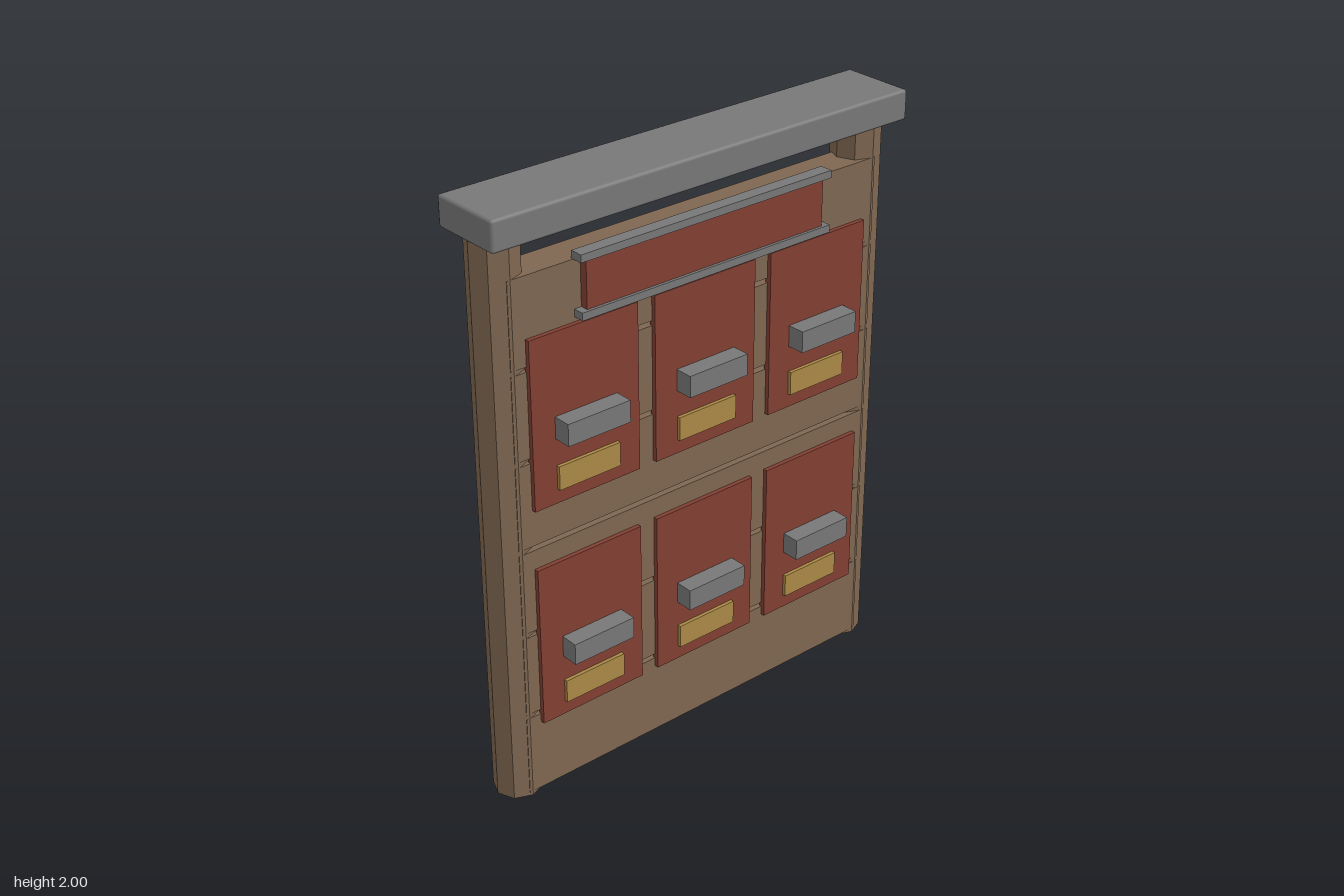
import * as THREE from 'three';
import { RoundedBoxGeometry } from 'three/addons/geometries/RoundedBoxGeometry.js';

function material(name, color) {
  const m = new THREE.MeshStandardMaterial({ color });
  m.name = name;
  return m;
}

export function createModel() {
  const model = new THREE.Group();
  model.name = 'mailboxBoard';
  const wood = material('brownWood', 0x7e6751);
  const red = material('redPaint', 0x823f33);
  const grey = material('greyMetal', 0x777877);
  const brass = material('brass', 0xaa8946);

  // Adds a mesh at a position
  function add(name, geometry, mat, x, y, z, parent = model) {
    const mesh = new THREE.Mesh(geometry, mat);
    mesh.name = name;
    mesh.position.set(x, y, z);
    parent.add(mesh);
    return mesh;
  }

  // Adds a box given by its lower and upper corners
  function box(name, mat, [x0, y0, z0], [x1, y1, z1], parent = model) {
    const geometry = new THREE.BoxGeometry(x1 - x0, y1 - y0, z1 - z0);
    return add(name, geometry, mat, (x0 + x1) / 2, (y0 + y1) / 2, (z0 + z1) / 2, parent);
  }

  // Octagonal posts
  const postGeometry = new THREE.CylinderGeometry(0.08, 0.08, 1.9, 8).toNonIndexed();
  postGeometry.computeVertexNormals();
  for (const [name, x] of [['rightPost', -0.705], ['leftPost', 0.695]]) {
    add(name, postGeometry, wood, x, 0.95, -0.01);
  }

  // Horizontal planks with narrow gaps
  const planks = new THREE.Group();
  planks.name = 'planks';
  model.add(planks);
  for (let i = 0; i < 6; i++) {
    const y = 0.013 + i * 0.298;
    box('plank', wood, [-0.715, y, -0.05], [0.705, y + 0.282, 0.068], planks);
  }

  // Roof beam with softened edges
  add('roofBeam', new RoundedBoxGeometry(1.58, 0.1, 0.255, 1, 0.01), grey, 0, 1.95, -0.0135);

  // Header panel held between two rails
  box('headerPanel', red, [-0.46, 1.625, 0.06], [0.457, 1.79, 0.095]);
  for (const y of [1.605, 1.785]) {
    box('headerRail', grey, [-0.485, y, 0.06], [0.482, y + 0.025, 0.105]);
  }

  // Two rows of three doors, each with a handle and a name plate
  for (const y of [0.265, 1.03]) {
    for (const x of [-0.463, -0.003, 0.457]) {
      const unit = new THREE.Group();
      unit.name = 'mailbox';
      unit.position.set(x, y, 0);
      model.add(unit);
      box('door', red, [-0.198, 0, 0.06], [0.198, 0.56, 0.083], unit);
      box('handle', grey, [-0.115, 0.217, 0.08], [0.115, 0.29, 0.145], unit);
      box('namePlate', brass, [-0.114, 0.048, 0.08], [0.114, 0.128, 0.095], unit);
    }
  }
  return model;
}
